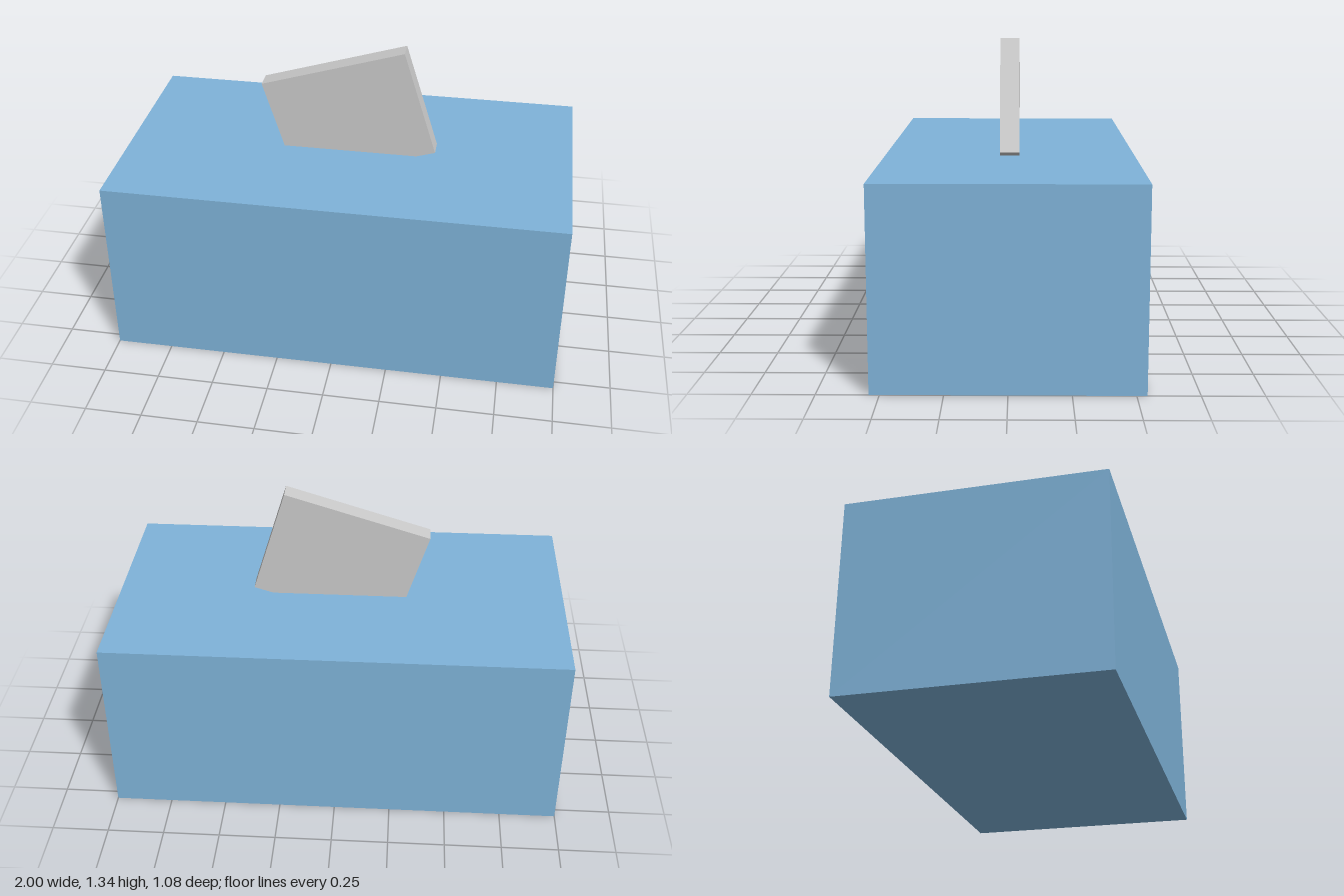
import * as THREE from 'three';

export function createModel() {
  const model = new THREE.Group();
  model.name = 'tissueBox';

  const addBox = (name, size, position, color) => {
    const mesh = new THREE.Mesh(
      new THREE.BoxGeometry(...size),
      new THREE.MeshStandardMaterial({ color })
    );
    mesh.name = name;
    mesh.position.set(...position);
    model.add(mesh);
    return mesh;
  };

  // Carton standing on the ground
  addBox('carton', [2, 0.834, 1.084], [0, 0.417, 0], 0x7fb3d9);

  // Tilted sheet, its lower corner sunk into the carton
  const sheet = addBox('tissueSheet', [0.664, 0.5, 0.083], [0, 1.001, 0], 0xcccccc);
  sheet.rotation.z = 0.3;

  return model;
}
